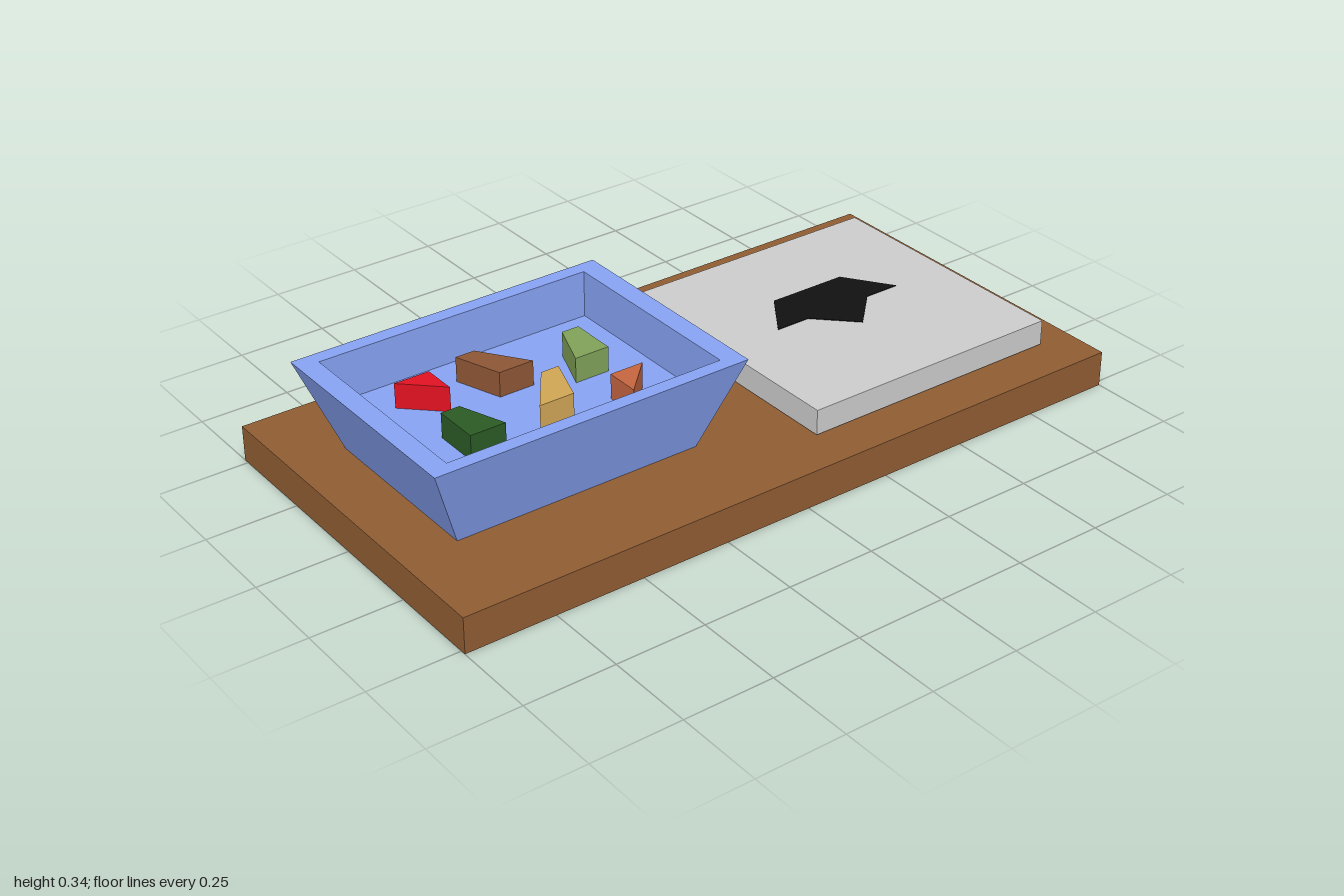
import * as THREE from 'three';

const paint = (color) => new THREE.MeshStandardMaterial({ color, flatShading: true });

function addMesh(parent, name, geometry, color) {
  const mesh = new THREE.Mesh(geometry, paint(color));
  mesh.name = name;
  parent.add(mesh);
  return mesh;
}

// Box given by its extents
function slab(x0, x1, y0, y1, z0, z1) {
  return new THREE.BoxGeometry(x1 - x0, y1 - y0, z1 - z0)
    .translate((x0 + x1) / 2, (y0 + y1) / 2, (z0 + z1) / 2);
}

// Upright prism from a plan outline of [x, z] points
function prism(outline, y0, y1) {
  const shape = new THREE.Shape(outline.map(([x, z]) => new THREE.Vector2(x, -z)));
  return new THREE.ExtrudeGeometry(shape, { depth: y1 - y0, bevelEnabled: false })
    .rotateX(-Math.PI / 2)
    .translate(0, y0, 0);
}

// Tray: rectangular rings joined from the base, up the outside, over the rim and down to the floor
function trayGeometry(rings) {
  const positions = [];
  const corners = rings.map(([x0, x1, z0, z1, y]) =>
    [[x0, y, z1], [x1, y, z1], [x1, y, z0], [x0, y, z0]]);
  const quad = (a, b, c, d) => positions.push(...a, ...b, ...c, ...a, ...c, ...d);
  for (let r = 0; r < corners.length - 1; r++) {
    for (let i = 0; i < 4; i++) {
      const j = (i + 1) % 4;
      quad(corners[r][i], corners[r][j], corners[r + 1][j], corners[r + 1][i]);
    }
  }
  const base = corners[0], floor = corners[corners.length - 1];
  quad(base[3], base[2], base[1], base[0]);
  quad(...floor);
  const geometry = new THREE.BufferGeometry();
  geometry.setAttribute('position', new THREE.Float32BufferAttribute(positions, 3));
  geometry.computeVertexNormals();
  return geometry;
}

export function createModel() {
  const model = new THREE.Group();
  model.name = 'shapePuzzle';

  addMesh(model, 'board', slab(-0.515, 0.515, 0, 0.1, -1, 1), 0x8f5c33);

  // Grey tile with the dark target silhouette on top
  addMesh(model, 'tile', slab(-0.375, 0.39, 0.104, 0.175, -0.895, -0.125), 0xcccccc);
  addMesh(model, 'silhouette', prism([
    [-0.12, -0.625], [0.01, -0.715], [0.01, -0.613], [0.112, -0.51],
    [0.01, -0.407], [0.01, -0.305], [-0.12, -0.395],
  ], 0.172, 0.177), 0x111111);

  // Flared tray with a straight-sided recess
  const floorY = 0.215;
  addMesh(model, 'tray', trayGeometry([
    [-0.267, 0.247, 0.145, 0.845, 0.1],
    [-0.34, 0.319, 0.04, 0.938, 0.345],
    [-0.299, 0.28, 0.097, 0.882, 0.345],
    [-0.299, 0.28, 0.097, 0.882, floorY],
  ]), 0x86a2f2);

  // Loose puzzle pieces lying in the tray
  const pieces = [
    ['olivePiece', 0x7fa158, [[-0.157, 0.215], [-0.025, 0.215], [-0.025, 0.315], [-0.157, 0.265]]],
    ['terracottaPiece', 0xc4643f, [[0.09, 0.193], [0.187, 0.29], [0.09, 0.29]]],
    ['brownPiece', 0x8d5636, [[-0.21, 0.495], [-0.08, 0.405], [-0.08, 0.505], [-0.21, 0.55]]],
    ['tanPiece', 0xcfa555, [[-0.02, 0.37], [0.112, 0.415], [0.112, 0.515], [-0.02, 0.422]]],
    ['redPiece', 0xe01222, [[-0.19, 0.64], [-0.093, 0.64], [-0.19, 0.74]]],
    ['greenPiece', 0x2b5a25, [[-0.003, 0.67], [0.128, 0.623], [0.128, 0.723], [-0.003, 0.723]]],
  ];
  const set = new THREE.Group();
  set.name = 'pieces';
  for (const [name, color, outline] of pieces) {
    addMesh(set, name, prism(outline, floorY, floorY + 0.07), color);
  }
  model.add(set);

  return model;
}
